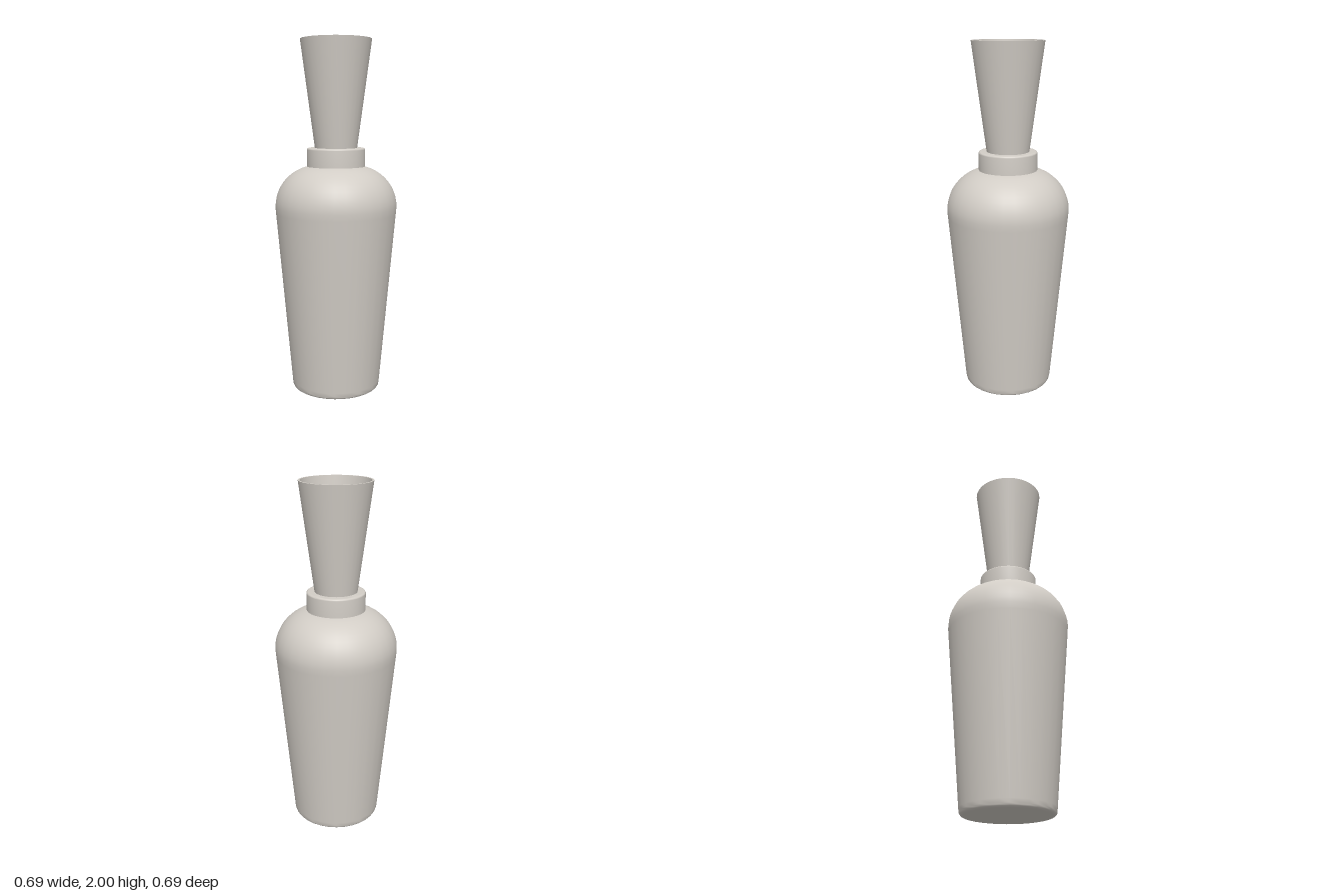
import * as THREE from 'three';
import { toCreasedNormals } from 'three/addons/utils/BufferGeometryUtils.js';

const SEGMENTS = 32;

// Points of a quarter round from the start angle to the end angle
function arc(cx, cy, r, from, to, steps) {
  return Array.from({ length: steps + 1 }, (_, i) => {
    const a = THREE.MathUtils.degToRad(from + (to - from) * i / steps);
    return [cx + r * Math.cos(a), cy + r * Math.sin(a)];
  });
}

export function createModel() {
  const model = new THREE.Group();
  model.name = 'bottle';

  const ceramic = new THREE.MeshStandardMaterial({ color: 0xd2cdc6 });
  ceramic.name = 'warm grey ceramic';

  // Profiles run bottom to top on the outside
  function turned(name, profile) {
    const points = profile.map(([r, y]) => new THREE.Vector2(r, y));
    const lathe = new THREE.LatheGeometry(points, SEGMENTS);
    const mesh = new THREE.Mesh(toCreasedNormals(lathe, Math.PI * 0.2), ceramic);
    mesh.name = name;
    model.add(mesh);
  }

  // Tapered body with a softened foot and a domed shoulder
  turned('body', [
    [0, 0], [0.232, 0],
    ...arc(0.235, 0.02, 0.02, -90, 0, 4),
    [0.257, 0.04], [0.344, 1.03],
    ...arc(0.112, 1.065, 0.235, 0, 90, 12),
    [0, 1.3],
  ]);

  // Short collar with a small rounded rim
  turned('collar', [
    [0, 1.295], [0.165, 1.295], [0.165, 1.388],
    ...arc(0.155, 1.39, 0.01, 0, 90, 4),
    [0.15, 1.4], [0, 1.4],
  ]);

  // Hollow flared neck, outside then rim then inside
  turned('flaredNeck', [
    [0.12, 1.4], [0.2, 2], [0.19, 2], [0.11, 1.4],
  ]);

  return model;
}
